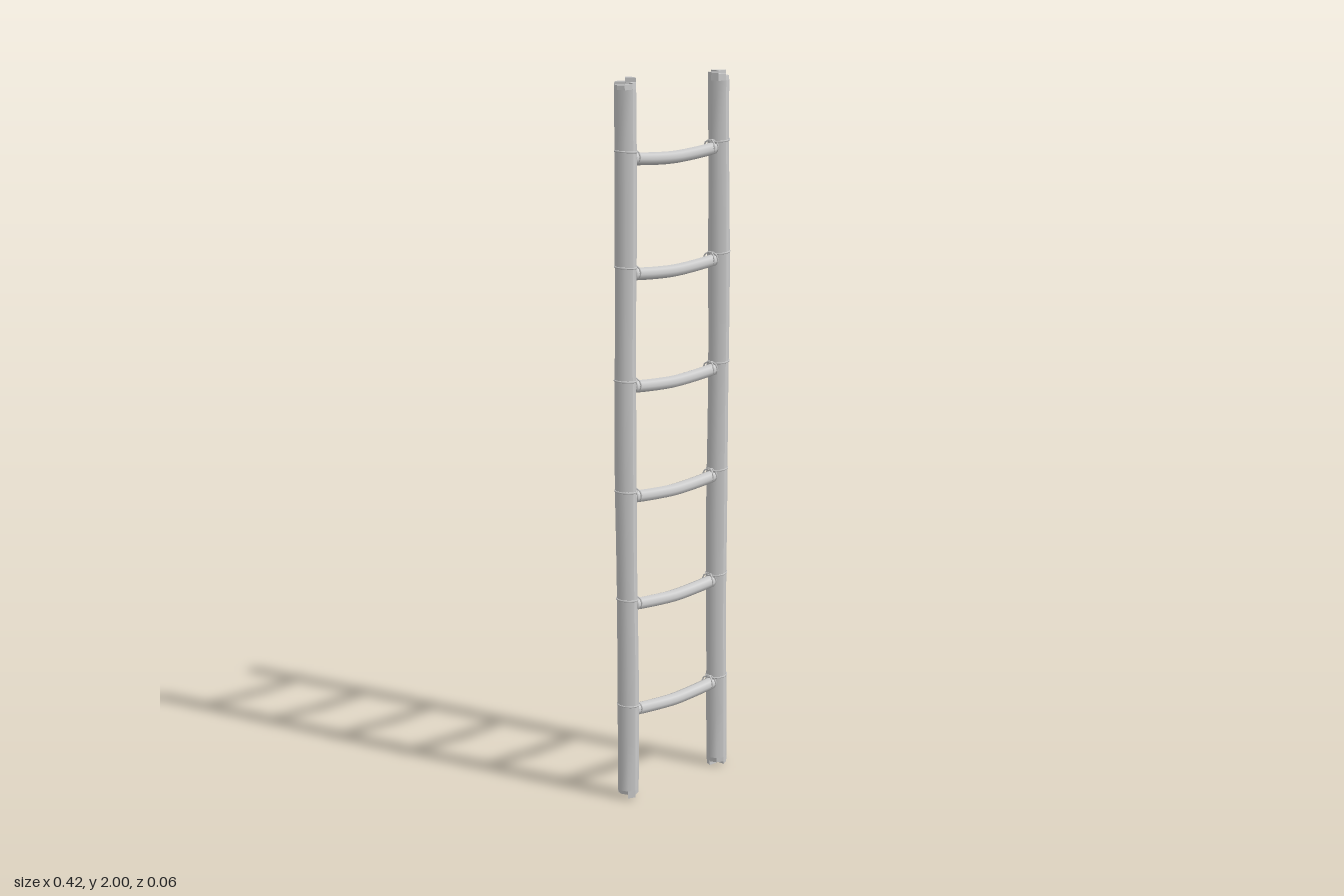
import * as THREE from 'three';
import { ConvexGeometry } from 'three/addons/geometries/ConvexGeometry.js';

const SIDES = 8, R = 0.029, RAIL_X = 0.176;
const smooth = new THREE.MeshStandardMaterial({ color: 0xcccccc });
const flat = new THREE.MeshStandardMaterial({ color: 0xcccccc, flatShading: true });

function add(parent, name, geometry, material = smooth) {
  const mesh = new THREE.Mesh(geometry, material);
  mesh.name = name;
  parent.add(mesh);
  return mesh;
}

// Slight natural wander of a pole along its height
const wander = (y, side) => 0.003 * Math.sin(y * 4.2 + (side > 0 ? 2.2 : 0.4));

// Splintered pole end: wedges around the axis, each cut at its own height
function splinteredEnd(parent, side, from, cuts) {
  const cx = side * RAIL_X + wander(from, side);
  const group = new THREE.Group();
  group.name = 'splinteredEnd';
  cuts.forEach((cut, i) => {
    const points = [];
    for (const y of [from, cut]) {
      const r = y === from ? R : R * 0.96;
      points.push(new THREE.Vector3(cx, y, 0));
      for (const k of [i, i + 1]) {
        const a = (k / SIDES) * Math.PI * 2;
        points.push(new THREE.Vector3(cx + Math.sin(a) * r, y, Math.cos(a) * r));
      }
    }
    add(group, 'splinter', new ConvexGeometry(points), flat);
  });
  parent.add(group);
}

// Upright pole
function rail(side) {
  const group = new THREE.Group();
  group.name = side > 0 ? 'leftRail' : 'rightRail';
  const bottom = 0.025, top = 1.97;
  const geo = new THREE.CylinderGeometry(R, R, top - bottom, SIDES, 14);
  geo.translate(0, (top + bottom) / 2, 0);
  const p = geo.attributes.position;
  for (let i = 0; i < p.count; i++) {
    const y = p.getY(i);
    const end = y < 0.03 || y > 1.96;
    const s = end ? 1 : 1 + 0.03 * Math.sin(y * 9 + side);
    p.setXYZ(i, p.getX(i) * s + side * RAIL_X + wander(y, side), y, p.getZ(i) * s);
  }
  geo.computeVertexNormals();
  add(group, 'pole', geo);
  const tops = side < 0
    ? [1.988, 2, 2, 1.99, 1.99, 1.982, 1.982, 1.985]
    : [1.983, 1.983, 1.995, 1.995, 1.985, 1.992, 1.992, 1.988];
  const bottoms = side < 0
    ? [0.012, 0.018, 0.018, 0.01, 0.01, 0.015, 0.015, 0.004]
    : [0.004, 0.004, 0.009, 0.009, 0, 0, 0.012, 0.012];
  splinteredEnd(group, side, top, tops);
  splinteredEnd(group, side, bottom, bottoms);
  return group;
}

// Sagging rung
function rung(y) {
  const V = (x, dy, z) => new THREE.Vector3(x, dy, z);
  const curve = new THREE.CatmullRomCurve3([
    V(-0.172, 0.008, 0), V(-0.12, 0.002, -0.001), V(-0.07, -0.003, -0.002),
    V(0, -0.006, 0), V(0.07, -0.003, -0.001), V(0.12, 0.002, 0), V(0.172, 0.008, 0),
  ]);
  const geo = new THREE.TubeGeometry(curve, 14, 0.02, 8);
  geo.scale(1, 0.85, 1);
  geo.translate(0, y, 0);
  return geo;
}

// Cord bindings where a rung meets a rail
function lashing(side, y) {
  const group = new THREE.Group();
  group.name = 'lashing';
  const cx = side * RAIL_X + wander(y, side);
  const band = add(group, 'railCord', new THREE.TorusGeometry(0.0295, 0.0026, 5, 12));
  band.position.set(cx, y + 0.02, 0);
  band.rotation.set(Math.PI / 2, side * 0.08, 0);

  // Two crossing loops around the rung end
  for (const tilt of [-0.35, 0.35]) {
    const loop = add(group, 'rungCord', new THREE.TorusGeometry(0.0215, 0.0024, 5, 10));
    loop.position.set(side * 0.146, y + 0.004, 0);
    loop.rotation.y = Math.PI / 2 + tilt;
    loop.scale.y = 0.9;
  }
  return group;
}

export function createModel() {
  const model = new THREE.Group();
  model.name = 'ladder';
  for (const side of [-1, 1]) model.add(rail(side));
  for (let i = 0; i < 6; i++) {
    const y = 0.247 + i * 0.307;
    add(model, 'rung', rung(y));
    for (const side of [-1, 1]) model.add(lashing(side, y + 0.006));
  }
  return model;
}
